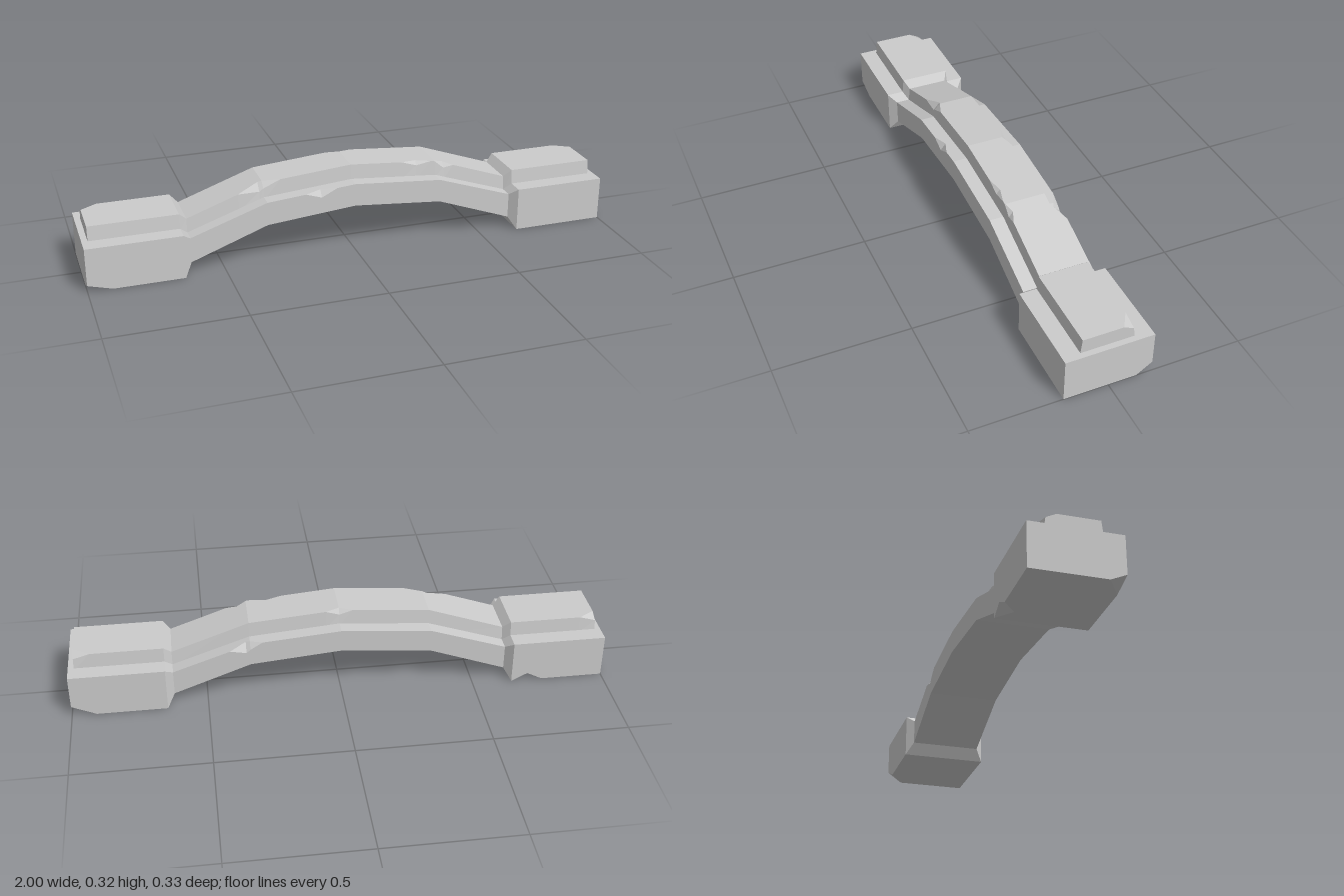
import * as THREE from 'three';

const material = new THREE.MeshStandardMaterial({ color: 0xcccccc, flatShading: true });

// Section values at x, interpolated between rows of [x, bottom, top, half width below, half width above]
function sectionAt(rows, x) {
  let i = 0;
  while (i < rows.length - 2 && x > rows[i + 1][0]) i++;
  const a = rows[i], b = rows[i + 1];
  const t = (x - a[0]) / (b[0] - a[0]);
  return a.map((v, k) => v + (b[k] - v) * t);
}

// Four-cornered sweep along x. Chips: [corner, x, half length, depth in z, depth in y]
// Corners: 0 bottom front, 1 top front, 2 top back, 3 bottom back
function chippedSweep(name, half, chips) {
  const mirrored = half.filter(r => r[0] > 0).map(r => [-r[0], ...r.slice(1)]).reverse();
  const rows = [...mirrored, ...half];
  const end = rows[rows.length - 1][0];
  const xs = rows.map(r => r[0]);
  for (const [, x, h] of chips) xs.push(x - h, x, x + h);
  const stations = [...new Set(xs.map(x => +x.toFixed(4)))]
    .filter(x => Math.abs(x) <= end).sort((a, b) => a - b);

  const rings = stations.map(x => {
    const [, bottom, top, wLow, wHigh] = sectionAt(rows, x);
    const corners = [[bottom, wLow], [top, wHigh], [top, -wHigh], [bottom, -wLow]];
    return corners.flatMap(([y, z], k) => {
      let dz = 0, dy = 0;
      for (const [corner, cx, h, cz, cy] of chips) {
        if (corner !== k) continue;
        const f = Math.max(0, 1 - Math.abs(x - cx) / h);
        dz += f * cz;
        dy += f * cy;
      }
      const alongZ = new THREE.Vector3(x, y, z - Math.sign(z) * dz);
      const alongY = new THREE.Vector3(x, y + (y === bottom ? dy : -dy), z);
      return k % 2 === 0 ? [alongZ, alongY] : [alongY, alongZ];
    });
  });

  const positions = [];
  const tri = (a, b, c) => {
    const area = b.clone().sub(a).cross(c.clone().sub(a)).length();
    if (area > 1e-8) for (const p of [a, b, c]) positions.push(p.x, p.y, p.z);
  };
  for (let i = 0; i < rings.length - 1; i++) {
    const a = rings[i], b = rings[i + 1];
    for (let j = 0; j < 8; j++) {
      const n = (j + 1) % 8;
      tri(a[j], b[j], b[n]);
      tri(a[j], b[n], a[n]);
    }
  }
  // End faces
  const first = rings[0], last = rings[rings.length - 1];
  for (let j = 1; j < 7; j++) {
    tri(first[0], first[j], first[j + 1]);
    tri(last[0], last[j + 1], last[j]);
  }

  const geometry = new THREE.BufferGeometry();
  geometry.setAttribute('position', new THREE.Float32BufferAttribute(positions, 3));
  geometry.computeVertexNormals();
  const mesh = new THREE.Mesh(geometry, material);
  mesh.name = name;
  return mesh;
}

export function createModel() {
  const group = new THREE.Group();
  group.name = 'stoneArch';

  // Wide lower course: arched span flaring into two end blocks
  group.add(chippedSweep('lowerArchAndBlocks', [
    [0, 0.18, 0.266, 0.135, 0.135],
    [0.335, 0.15, 0.238, 0.135, 0.135],
    [0.622, 0.045, 0.14, 0.135, 0.135],
    [0.65, 0, 0.166, 0.163, 0.163],
    [1, 0, 0.166, 0.163, 0.163],
  ], [
    [3, 1, 0.09, 0.057, 0.04],
    [0, -1, 0.09, 0.057, 0.025],
    [3, -0.71, 0.058, 0.05, 0.03],
    [1, -0.13, 0.06, 0.02, 0.025],
    [2, 0.35, 0.06, 0.027, 0.032],
  ]));

  // Narrow upper course following the same line, with slightly sloped sides
  group.add(chippedSweep('upperCapCourse', [
    [0, 0.256, 0.321, 0.084, 0.077],
    [0.335, 0.228, 0.293, 0.084, 0.077],
    [0.622, 0.13, 0.192, 0.084, 0.077],
    [0.65, 0.156, 0.22, 0.1, 0.093],
    [0.978, 0.156, 0.22, 0.1, 0.093],
  ], [
    [1, -0.35, 0.08, 0.026, 0.028],
    [1, 0.26, 0.06, 0.015, 0.015],
    [1, 0.37, 0.04, 0.016, 0.02],
    [2, 0, 0.05, 0.016, 0.02],
    [2, 0.978, 0.06, 0.037, 0.018],
    [2, -0.978, 0.06, 0.037, 0.018],
  ]));

  return group;
}
